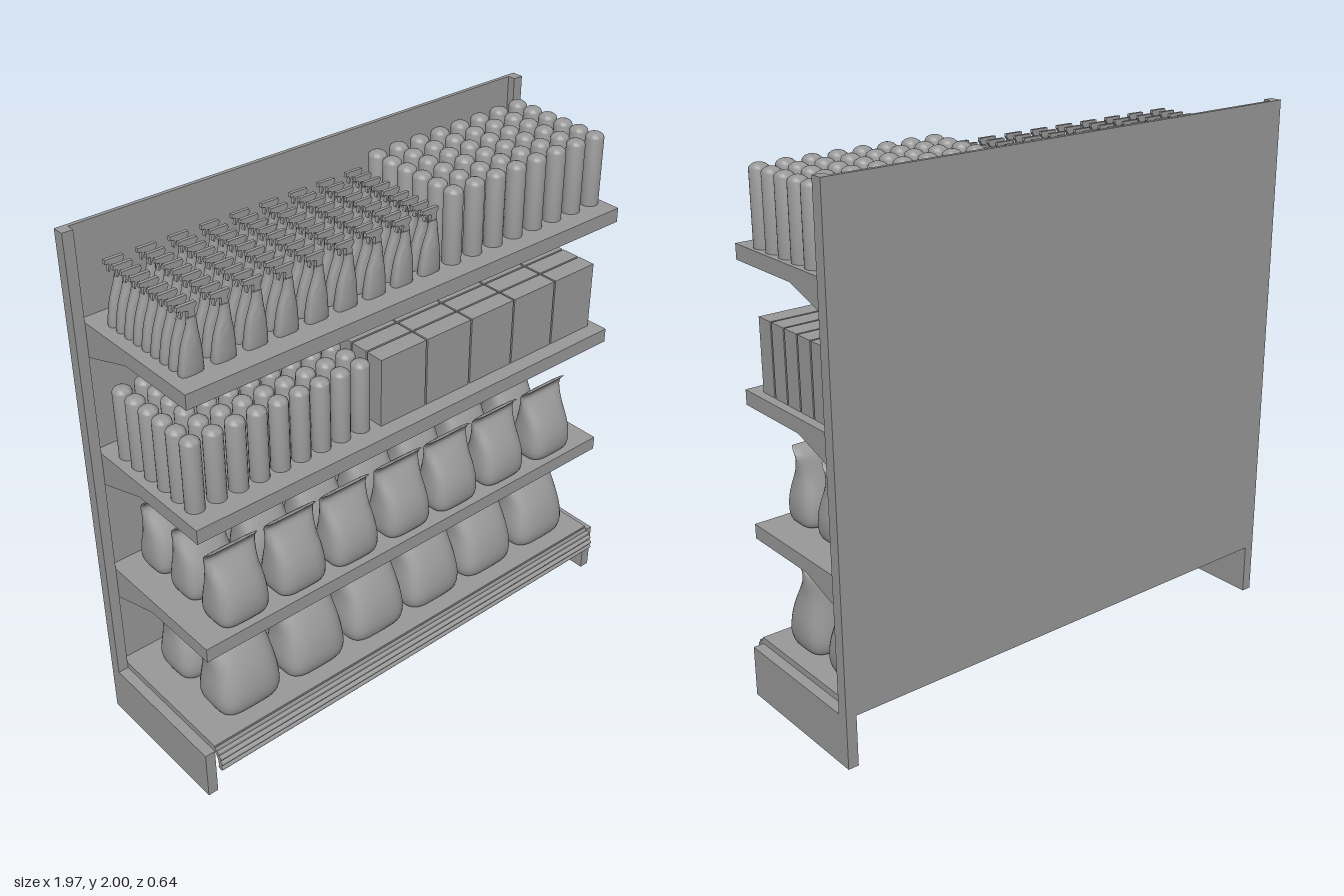
import * as THREE from 'three';
import { toCreasedNormals } from 'three/addons/utils/BufferGeometryUtils.js';

const material = new THREE.MeshStandardMaterial({ color: 0x999999 });

function add(parent, name, geometry, x = 0, y = 0, z = 0) {
  const mesh = new THREE.Mesh(geometry, material);
  mesh.name = name;
  mesh.position.set(x, y, z);
  parent.add(mesh);
  return mesh;
}

// Box given by its low and high limits on each axis
function slab(parent, name, [x0, x1], [y0, y1], [z0, z1]) {
  const box = new THREE.BoxGeometry(x1 - x0, y1 - y0, z1 - z0);
  return add(parent, name, box, (x0 + x1) / 2, (y0 + y1) / 2, (z0 + z1) / 2);
}

// Side profile of [z, y] points extruded along x, centred on x = 0
function extrudeAlongX(points, width) {
  const shape = new THREE.Shape(points.map(([z, y]) => new THREE.Vector2(z, y)));
  const geometry = new THREE.ExtrudeGeometry(shape, { depth: width, bevelEnabled: false });
  return geometry.rotateY(-Math.PI / 2).translate(width / 2, 0, 0);
}

// Smooth skin over superellipse sections: rows of [y, centreX, centreZ, radiusX, radiusZ, squareness]
function loft(rows, levels, sides) {
  const centres = new THREE.CatmullRomCurve3(rows.map(r => new THREE.Vector3(r[1], r[0], r[2])), false, 'catmullrom', 0.5);
  const radii = new THREE.CatmullRomCurve3(rows.map(r => new THREE.Vector3(r[3], r[4], r[5])), false, 'catmullrom', 0.5);
  const power = (v, e) => Math.sign(v) * Math.abs(v) ** e;
  const position = [], index = [];
  for (let i = 0; i <= levels; i++) {
    const c = centres.getPoint(i / levels), r = radii.getPoint(i / levels);
    for (let j = 0; j < sides; j++) {
      const a = (j / sides) * Math.PI * 2;
      position.push(c.x + r.x * power(Math.cos(a), r.z), c.y, c.z + r.y * power(Math.sin(a), r.z));
    }
  }
  for (let i = 0; i < levels; i++) {
    for (let j = 0; j < sides; j++) {
      const a = i * sides + j, b = i * sides + (j + 1) % sides;
      index.push(a, a + sides, b, b, a + sides, b + sides);
    }
  }
  // End caps
  const first = rows[0], last = rows[rows.length - 1], n = (levels + 1) * sides;
  position.push(first[1], first[0], first[2], last[1], last[0], last[2]);
  for (let j = 0; j < sides; j++) {
    const k = (j + 1) % sides, top = levels * sides;
    index.push(n, j, k, n + 1, top + k, top + j);
  }
  const geometry = new THREE.BufferGeometry();
  geometry.setAttribute('position', new THREE.Float32BufferAttribute(position, 3));
  geometry.setIndex(index);
  geometry.computeVertexNormals();
  return toCreasedNormals(geometry, 1);
}

// Calls place(x, z) for each spot of a grid
function grid(xs, zs, place) {
  for (const x of xs) for (const z of zs) place(x, z);
}
const series = (start, step, count) => Array.from({ length: count }, (_, i) => start + step * i);

function addFrame(model) {
  const frame = new THREE.Group();
  frame.name = 'frame';
  model.add(frame);
  slab(frame, 'backPanel', [-0.945, 0.945], [0.195, 2], [-0.32, -0.305]);
  slab(frame, 'baseDeck', [-0.945, 0.945], [0.195, 0.22], [-0.305, 0.275]);
  for (const [side, x] of [['right', -0.965], ['left', 0.965]]) {
    slab(frame, side + 'Upright', [x - 0.02, x + 0.02], [0.195, 2], [-0.32, -0.275]);
    slab(frame, side + 'Foot', [x - 0.02, x + 0.02], [0, 0.195], [-0.32, 0.275]);
  }

  // Curved, ribbed bumper along the front of the base
  const arc = (a, r) => [0.267 + r * Math.cos(a), 0.15 + (r + 0.015) * Math.sin(a)];
  const outer = series(0, 1, 41).map(i => arc(-0.47 + 2.02 * i / 40, 0.04 + 0.01 * Math.abs(Math.sin(Math.PI * i / 8))));
  const inner = series(0, 1, 13).map(i => arc(1.55 - 2.02 * i / 12, 0.026));
  add(frame, 'frontBumper', toCreasedNormals(extrudeAlongX([...outer, ...inner], 1.89), 0.6));

  // Shelves with tapered end brackets
  const bracket = extrudeAlongX([[-0.275, -0.13], [-0.05, -0.055], [-0.05, -0.05], [-0.275, -0.05]], 0.022);
  for (const top of [0.67, 1.17, 1.675]) {
    slab(frame, 'shelf', [-0.945, 0.945], [top - 0.055, top], [-0.305, 0.275]);
    for (const x of [-0.934, 0.934]) add(frame, 'shelfBracket', bracket, x, top);
  }
}

function addSprayBottles(model) {
  // Body with an upright back and a front that slopes into the neck
  const body = loft([
    [0, 0, 0, 0.039, 0.017, 0.6], [0.006, 0, 0, 0.043, 0.021, 0.6],
    [0.05, 0.003, 0, 0.039, 0.021, 0.65], [0.09, 0.006, 0, 0.034, 0.02, 0.7],
    [0.13, 0.01, 0, 0.025, 0.018, 0.85], [0.165, 0.014, 0, 0.019, 0.013, 1],
    [0.19, 0.014, 0, 0.017, 0.01, 1],
  ], 10, 12);
  // Head with nozzle and trigger, pointing to -x
  const outline = [[0.028, 0.186], [0.024, 0.21], [0.034, 0.225], [0.032, 0.235], [-0.036, 0.235], [-0.038, 0.221],
    [-0.022, 0.219], [-0.027, 0.195], [-0.022, 0.193], [-0.014, 0.215], [0.002, 0.212], [0, 0.186]];
  const head = new THREE.ExtrudeGeometry(new THREE.Shape(outline.map(p => new THREE.Vector2(...p))),
    { depth: 0.013, bevelEnabled: false }).translate(0, 0, -0.0065);
  grid(series(-0.86, 0.12, 9), series(-0.2, 0.048, 9), (x, z) => {
    const bottle = new THREE.Group();
    bottle.name = 'sprayBottle';
    bottle.position.set(x, 1.675, z);
    add(bottle, 'bottleBody', body);
    add(bottle, 'sprayHead', head);
    model.add(bottle);
  });
}

function addCansAndBoxes(model) {
  const profile = [[0, 0], [0.034, 0], [0.034, 0.255], [0.031, 0.263], [0.022, 0.27], [0.012, 0.274], [0, 0.275]];
  const can = toCreasedNormals(new THREE.LatheGeometry(profile.map(p => new THREE.Vector2(...p)), 20), 0.8);
  const rows = series(-0.205, 0.076, 6);
  grid(series(0.213, 0.0978, 8), rows, (x, z) => add(model, 'can', can, x, 1.675, z));
  grid(series(-0.88, 0.086, 9), rows, (x, z) => add(model, 'can', can, x, 1.17, z));

  const carton = new THREE.BoxGeometry(0.203, 0.265, 0.072).translate(0, 0.1325, 0);
  grid(series(-0.03, 0.21, 5), series(-0.217, 0.079, 6), (x, z) => add(model, 'carton', carton, x, 1.17, z));
}

function addBags(model) {
  // Pillow bags with a soft base and a thin seal curling to the front
  const smallBag = loft([
    [0, 0, 0, 0.085, 0.06, 0.5], [0.008, 0, 0, 0.098, 0.076, 0.5],
    [0.04, 0, 0, 0.105, 0.085, 0.55], [0.09, 0.001, 0, 0.106, 0.083, 0.65],
    [0.14, 0, -0.002, 0.102, 0.07, 0.7], [0.19, -0.002, -0.008, 0.099, 0.05, 0.75],
    [0.235, 0, -0.016, 0.101, 0.028, 0.75], [0.262, 0.001, -0.018, 0.105, 0.014, 0.7],
    [0.283, 0, -0.004, 0.106, 0.008, 0.6], [0.295, 0, 0.011, 0.099, 0.004, 0.6],
  ], 22, 28);
  grid([-0.75, -0.5, -0.26, -0.01, 0.23, 0.475, 0.733], [0.175, -0.01, -0.195],
    (x, z) => add(model, 'smallBag', smallBag, x, 0.67, z));

  const largeBag = loft([
    [0, 0, 0, 0.11, 0.08, 0.5], [0.008, 0, 0, 0.124, 0.098, 0.5],
    [0.05, 0.001, 0, 0.134, 0.108, 0.55], [0.11, 0.004, -0.003, 0.133, 0.104, 0.65],
    [0.17, 0.005, -0.01, 0.126, 0.091, 0.7], [0.23, 0.001, -0.024, 0.125, 0.071, 0.75],
    [0.285, -0.003, -0.041, 0.132, 0.046, 0.75], [0.325, -0.002, -0.038, 0.134, 0.027, 0.7],
    [0.35, 0, -0.012, 0.13, 0.016, 0.6], [0.365, 0, 0.016, 0.122, 0.007, 0.6],
  ], 22, 28);
  grid([-0.715, -0.415, -0.12, 0.168, 0.455, 0.752], [0.115, -0.13],
    (x, z) => add(model, 'largeBag', largeBag, x, 0.22, z));
}

export function createModel() {
  const model = new THREE.Group();
  model.name = 'stockedStoreShelf';
  addFrame(model);
  addSprayBottles(model);
  addCansAndBoxes(model);
  addBags(model);
  return model;
}
